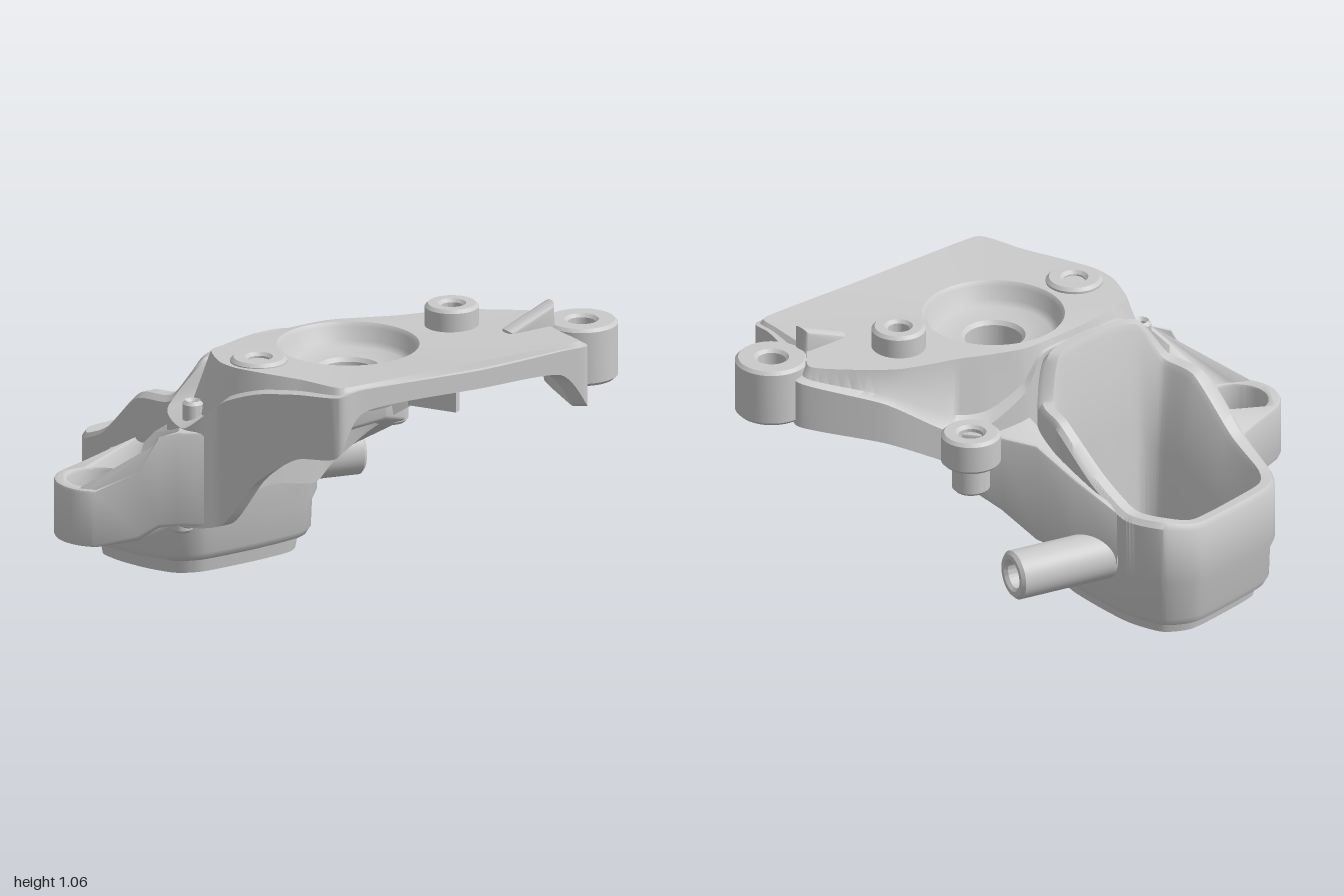
import * as THREE from 'three';
import { toCreasedNormals, mergeVertices } from 'three/addons/utils/BufferGeometryUtils.js';

const metal = new THREE.MeshStandardMaterial({ color: 0xcacaca });
metal.name = 'cast grey metal';
const SAMPLES = 180;
const HUB_Z = 0.27;
const { smoothstep } = THREE.MathUtils;

// Smooth closed loop through a few control points
function loop(points) {
  const curve = new THREE.CatmullRomCurve3(points, true, 'catmullrom', 0.35);
  return Array.from({ length: SAMPLES }, (_, i) => curve.getPoint(i / SAMPLES));
}

// Skin a closed ring of loops
function loft(loops) {
  const index = [], n = SAMPLES;
  loops.forEach((_, k) => {
    const k2 = (k + 1) % loops.length;
    for (let i = 0; i < n; i++) {
      const j = (i + 1) % n;
      const a = k * n + i, b = k * n + j, c = k2 * n + i, d = k2 * n + j;
      index.push(a, c, d, a, d, b);
    }
  });
  const g = new THREE.BufferGeometry().setFromPoints(loops.flat());
  g.setIndex(index);
  return toCreasedNormals(mergeVertices(g, 1e-4), 0.7);
}

function mesh(name, geometry) {
  const m = new THREE.Mesh(geometry, metal);
  m.name = name;
  return m;
}

// Hollow round boss with softened edges
function bossGeometry(r, hole, y0, y1) {
  const b = 0.012;
  const profile = [[hole + b, y1], [hole, y1 - b], [hole, y0 + b], [hole + b, y0], [r - b, y0], [r, y0 + b],
    [r, y1 - b], [r - b, y1], [hole + b, y1]];
  return toCreasedNormals(new THREE.LatheGeometry(profile.map(p => new THREE.Vector2(...p)), 48), 0.5);
}

function boss(name, x, z, r, hole, y0, y1) {
  const m = mesh(name, bossGeometry(r, hole, y0, y1));
  m.position.set(x, 0, z);
  return m;
}

// Move a point level towards the hub
function towardHub(p, distance) {
  const d = new THREE.Vector3(-p.x, 0, HUB_Z - p.z).setLength(distance);
  return p.clone().add(d);
}

// Hollow hub plate, each row: edge x, z, top y, skirt bottom y, width of the sloping flank
function hubPlate() {
  const rows = [
    [-0.37, 0.77, 0.95, 0.72, 0.04],
    [-0.25, 0.775, 0.965, 0.88, 0.02],
    [0.25, 0.775, 0.95, 0.88, 0.02],
    [0.6, 0.775, 0.96, 0.87, 0.02],
    [0.72, 0.77, 0.96, 0.73, 0.03],
    [0.73, 0.68, 0.96, 0.74, 0.03],
    [0.77, 0.5, 0.94, 0.75, 0.05],
    [0.86, 0.365, 0.92, 0.74, 0.06],
    [0.63, 0.145, 0.84, 0.68, 0.06],
    [0.43, 0.03, 0.71, 0.58, 0.1],
    [0.3, -0.04, 0.71, 0.5, 0.1],
    [0.13, -0.06, 0.8, 0.4, 0.05],
    [0.02, -0.04, 0.92, 0.35, 0.02],
    [-0.2, -0.025, 0.92, 0.38, 0.02],
    [-0.43, -0.01, 0.9, 0.33, 0.06],
    [-0.6, -0.02, 0.74, 0.32, 0.16],
    [-0.65, 0.17, 0.72, 0.34, 0.14],
    [-0.57, 0.3, 0.84, 0.37, 0.06],
    [-0.51, 0.44, 0.9, 0.56, 0.05],
    [-0.44, 0.6, 0.93, 0.68, 0.05]];
  const foot = loop(rows.map(([x, z, y]) => new THREE.Vector3(x, y, z)));
  const skirt = loop(rows.map(([x, z, , y]) => new THREE.Vector3(x, y, z)));
  const ridge = loop(rows.map(([x, z, , , w]) => towardHub(new THREE.Vector3(x, 0.955 + 0.03 * Math.max(z, 0), z), w)));
  const shelf = ridge.map((p, i) => p.clone().lerp(foot[i], 0.4).setY(p.y + 0.85 * (foot[i].y - p.y)));
  const circle = (r, y) => ridge.map(p => {
    const a = Math.atan2(p.z - HUB_Z, p.x);
    return new THREE.Vector3(r * Math.cos(a), y, HUB_Z + r * Math.sin(a));
  });
  const skirtInside = skirt.map(p => towardHub(p, 0.055));
  const ceiling = ridge.map(p => towardHub(p, 0.03).setY(0.9));
  return loft([circle(0.105, 0.76), circle(0.105, 0.855), circle(0.118, 0.87), circle(0.215, 0.875),
    circle(0.238, 0.895), circle(0.248, 0.945), circle(0.262, 0.96), ridge, shelf, foot, skirt, skirtInside, ceiling,
    circle(0.255, 0.88), circle(0.2, 0.76)]);
}

// Open duct, each row: outer x, z, rim y, then floor opening x, z
function duct() {
  const rows = [
    [-0.45, -0.01, 0.9, -0.36, -0.13],
    [-0.2, -0.01, 0.94, -0.2, -0.15],
    [0.02, -0.04, 0.92, -0.06, -0.165],
    [0.11, -0.11, 0.77, 0, -0.2],
    [0.135, -0.24, 0.74, 0.01, -0.26],
    [0.125, -0.42, 0.59, -0.02, -0.43],
    [0.1, -0.58, 0.49, -0.05, -0.57],
    [0.03, -0.72, 0.48, -0.08, -0.63],
    [-0.1, -0.775, 0.46, -0.13, -0.655],
    [-0.35, -0.745, 0.46, -0.32, -0.625],
    [-0.51, -0.71, 0.465, -0.43, -0.61],
    [-0.58, -0.62, 0.475, -0.465, -0.56],
    [-0.6, -0.45, 0.55, -0.45, -0.42],
    [-0.59, -0.25, 0.73, -0.42, -0.25],
    [-0.55, -0.08, 0.76, -0.4, -0.17]];
  const rim = loop(rows.map(([x, z, y]) => new THREE.Vector3(x, y, z)));
  const opening = loop(rows.map(([, , , x, z]) => new THREE.Vector3(x, 0.067 + 0.1 * z, z)));
  // Loop between the rim and the floor opening
  const inside = (t, height) => rim.map((p, i) => p.clone().lerp(opening[i], t).setY(height(p.y)));
  // Scaled copy of the outline, at a height found from each point
  const ring = (s, height) => rim.map(p => {
    const q = new THREE.Vector3(-0.24 + (p.x + 0.24) * s, 0, -0.38 + (p.z + 0.38) * s);
    return q.setY(height(p.y, q.z));
  });
  return loft([
    opening,
    inside(0.8, y => y * 0.55),
    inside(0.48, y => y - 0.025),
    inside(0.4, y => y),
    inside(0.12, y => y),
    ring(1, y => y - 0.02),
    ring(1, (y, z) => 0.29 + 0.08 * z),
    ring(0.96, (y, z) => 0.25 + 0.08 * z),
    ring(0.95, (y, z) => 0.15 + 0.1 * z),
    ring(0.91, (y, z) => 0.125 + 0.11 * z),
    ring(0.84, (y, z) => 0.115 + 0.1 * z),
    ring(0.82, (y, z) => 0.067 + 0.1 * z)]);
}

// Slab over a ground outline, its top and bottom raised by rules of x and z
function slab(shape, bevel, top, bottom) {
  const g = new THREE.ExtrudeGeometry(shape, { depth: 1, bevelSize: bevel, bevelThickness: bevel, bevelSegments: 2,
    curveSegments: 32 });
  g.rotateX(Math.PI / 2);
  const p = g.attributes.position;
  for (let i = 0; i < p.count; i++) {
    const x = p.getX(i), y = p.getY(i), z = p.getZ(i);
    p.setY(i, y > -0.5 ? top(x, z) + y - bevel : bottom(x, z) + y + 1 + bevel);
  }
  return toCreasedNormals(g, 0.6);
}

// Side ear: ring and arm, rising towards the hub plate
function ear() {
  const cx = -0.83, cz = -0.125;
  const s = new THREE.Shape();
  s.moveTo(-0.54, -0.46);
  s.lineTo(-0.62, -0.375);
  s.lineTo(-0.68, -0.345);
  s.lineTo(-0.76, -0.315);
  s.absarc(cx, cz, 0.155, -1.92, -4.07, true);
  [[-0.8, 0.09], [-0.74, 0.135], [-0.68, 0.175], [-0.61, 0.23], [-0.53, 0], [-0.53, -0.1], [-0.54, -0.25]]
    .forEach(p => s.lineTo(...p));
  s.closePath();
  s.holes.push(new THREE.Path().absarc(cx, cz, 0.13, 0, Math.PI * 2, false));
  const top = (x, z) => 0.485 + 0.23 * smoothstep(Math.hypot(x - cx, z - cz), 0.175, 0.3) * smoothstep(z, -0.36, -0.1);
  return slab(s, 0.012, top, (x, z) => 0.265 + 0.09 * smoothstep(z, 0.05, 0.16));
}

// Shoulder between the duct and the ledge boss
function shoulder() {
  const s = new THREE.Shape([[0.11, -0.5], [0.12, -0.55], [0.18, -0.41], [0.25, -0.27], [0.31, -0.14], [0.41, 0],
    [0.3, 0.05], [0.11, -0.01]].map(p => new THREE.Vector2(...p)));
  return slab(s, 0.01, (x, z) => 0.5 + 0.21 * smoothstep(z, -0.56, -0.25),
    (x, z) => Math.max(0.28, 0.3 + 0.72 * (z + 0.3)));
}

// Upright thin rib between two ground points
function rib(name, x0, z0, x1, z1, y0) {
  const y1 = 0.905;
  const m = mesh(name, new THREE.BoxGeometry(Math.hypot(x1 - x0, z1 - z0), y1 - y0, 0.03));
  m.position.set((x0 + x1) / 2, (y0 + y1) / 2, (z0 + z1) / 2);
  m.rotation.y = -Math.atan2(z1 - z0, x1 - x0);
  return m;
}

export function createModel() {
  const model = new THREE.Group();
  model.name = 'cast bracket';
  model.add(mesh('hubPlate', hubPlate()), mesh('duct', duct()), mesh('sideEar', ear()), mesh('shoulder', shoulder()));

  // Mounting bosses
  model.add(
    boss('cornerBoss', 0.86, 0.515, 0.135, 0.052, 0.75, 0.97),
    boss('leftPlateBoss', 0.44, 0.29, 0.1, 0.04, 0.9, 1.045),
    boss('rightPlateBoss', -0.39, 0.27, 0.105, 0.04, 0.9, 0.98),
    boss('ledgeBoss', 0.4, -0.07, 0.11, 0.045, 0.61, 0.735),
    boss('ledgeBossStem', 0.4, -0.07, 0.07, 0.04, 0.5, 0.63),
    boss('smallBoss', -0.575, 0.11, 0.038, 0.018, 0.7, 0.8),
    boss('lowerStud', -0.55, 0, 0.04, 0.015, 0.26, 0.45));

  // Side pipe leaving the duct
  const pipe = mesh('sidePipe', bossGeometry(0.092, 0.05, 0, 0.4));
  const along = new THREE.Vector3(0.975, 0, 0.22).normalize();
  pipe.quaternion.setFromUnitVectors(new THREE.Vector3(0, 1, 0), along);
  pipe.position.set(0.085, 0.29, -0.475);
  model.add(pipe);

  // Pointed fin beside the corner boss
  const finShape = new THREE.Shape([[0.56, 0.93], [0.725, 0.93], [0.725, 1.035], [0.56, 0.965]]
    .map(p => new THREE.Vector2(...p)));
  const fin = mesh('fin', toCreasedNormals(new THREE.ExtrudeGeometry(finShape,
    { depth: 0.01, bevelSize: 0.02, bevelThickness: 0.03, bevelSegments: 4 }), 0.6));
  fin.position.z = 0.49;
  model.add(fin);

  // Ribs under the plate
  model.add(
    rib('frontRib', 0.1, 0.53, 0.2, 0.7, 0.78),
    rib('leftRib', 0.26, 0.32, 0.7, 0.45, 0.78),
    rib('rightRib', -0.26, 0.3, -0.46, 0.33, 0.74));
  return model;
}
